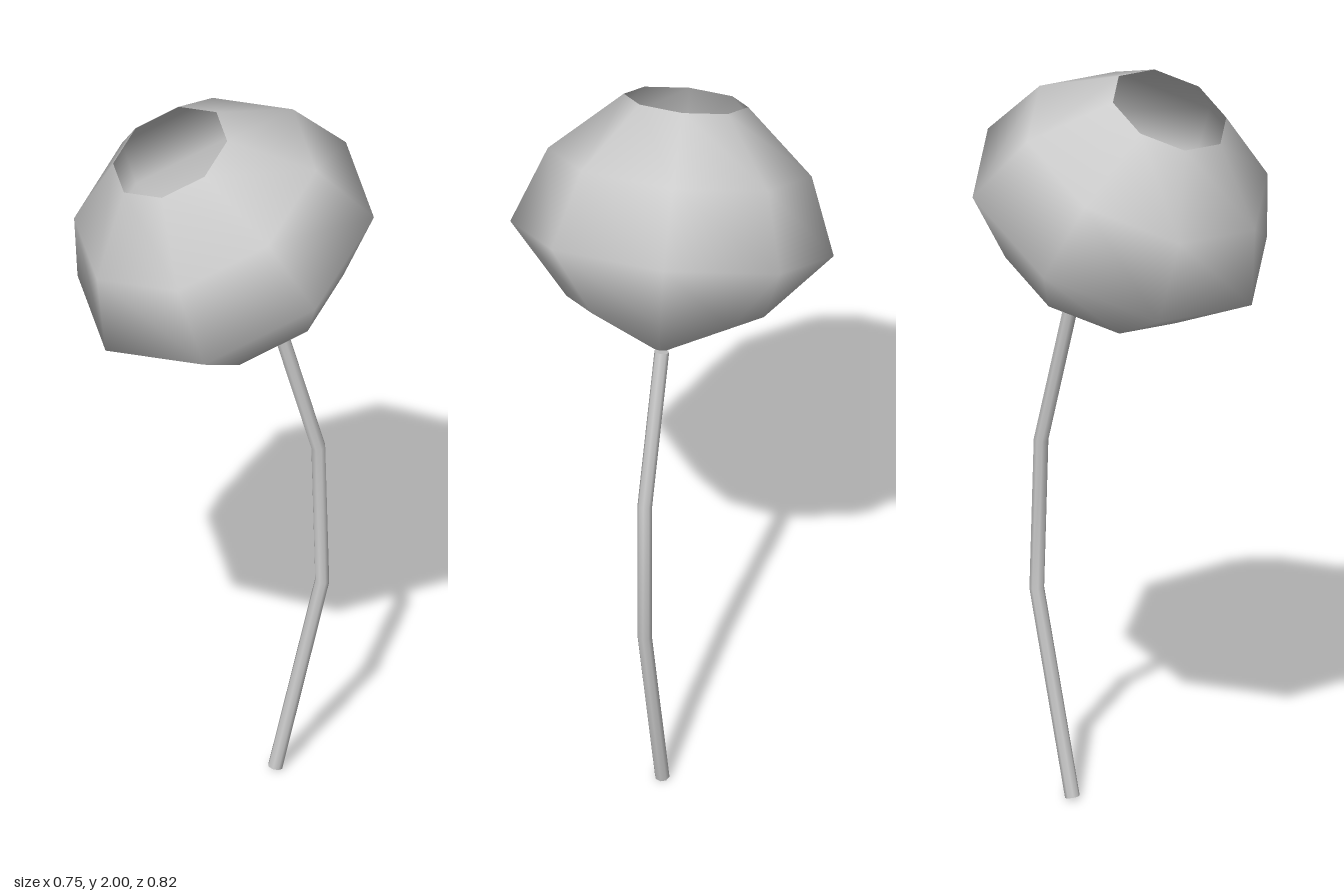
import * as THREE from 'three';

const grey = new THREE.MeshStandardMaterial({ color: 0xcccccc, side: THREE.DoubleSide });
grey.name = 'plain grey';

// Hollow eight-sided pod, open at its tilted mouth
function makePod() {
  const profile = [[0, -0.657], [0.252, -0.537], [0.413, -0.36], [0.337, -0.161], [0.159, 0]]
    .map(([r, y]) => new THREE.Vector2(r, y));
  const phase = THREE.MathUtils.degToRad(8.8);
  const pod = new THREE.Mesh(new THREE.LatheGeometry(profile, 8, phase), grey);
  pod.name = 'pod';
  pod.rotation.z = THREE.MathUtils.degToRad(25.7);
  pod.position.set(-0.151, 1.932, 0.001);
  return pod;
}

// Thin capped stem: a cylinder whose rings are moved onto a bent path
function makeStem() {
  const path = [[0.148, 0.005, -0.007], [0.272, 0.54, 0.01], [0.26, 0.945, 0.012], [0.148, 1.355, -0.006]]
    .map((p) => new THREE.Vector3(...p));
  const last = path.length - 1;
  const up = new THREE.Vector3(0, 1, 0);
  const turns = path.map((p, i) => {
    const tangent = new THREE.Vector3();
    if (i > 0) tangent.add(p.clone().sub(path[i - 1]).normalize());
    if (i < last) tangent.add(path[i + 1].clone().sub(p).normalize());
    return new THREE.Quaternion().setFromUnitVectors(up, tangent.normalize());
  });
  const geometry = new THREE.CylinderGeometry(0.019, 0.019, last, 8, last);
  const { position, normal } = geometry.attributes;
  const v = new THREE.Vector3();
  for (let i = 0; i < position.count; i++) {
    v.fromBufferAttribute(position, i);
    const ring = Math.round(v.y + last / 2);
    v.setY(0).applyQuaternion(turns[ring]).add(path[ring]);
    position.setXYZ(i, v.x, v.y, v.z);
    v.fromBufferAttribute(normal, i).applyQuaternion(turns[ring]);
    normal.setXYZ(i, v.x, v.y, v.z);
  }
  const stem = new THREE.Mesh(geometry, grey);
  stem.name = 'stem';
  return stem;
}

export function createModel() {
  const model = new THREE.Group();
  model.name = 'podOnStem';
  model.add(makePod(), makeStem());
  return model;
}
